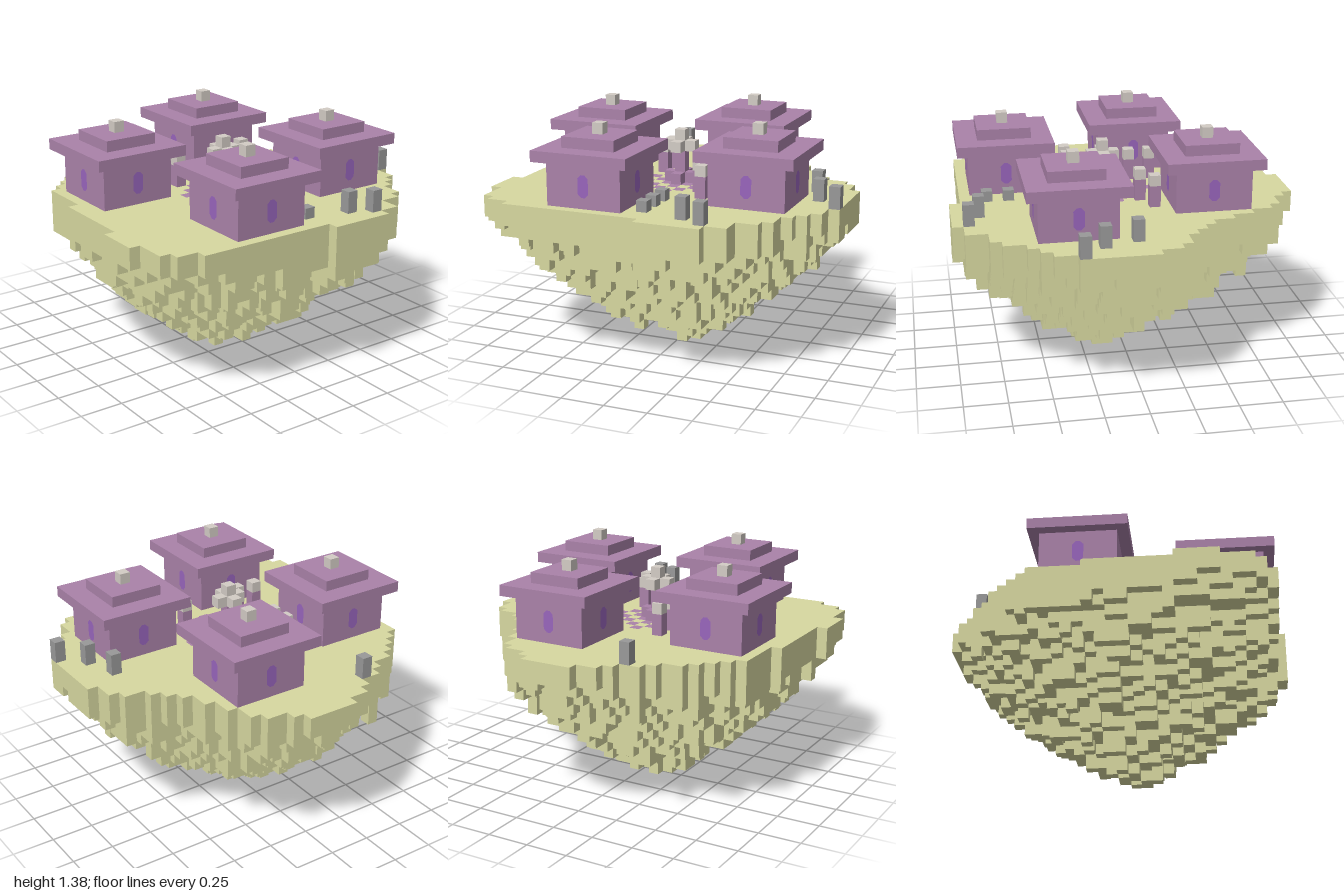
import * as THREE from 'three';

const U = 1 / 16; // one block
const GROUND = 15; // ground level in blocks

const mat = (name, color) =>
  Object.assign(new THREE.MeshStandardMaterial({ color }), { name });

// Left and right end of the ground in each row of blocks, from the back to the front
const ROWS = [
  [-1, 6], [-3, 8], [-4, 9], [-4, 10], [-5, 12], [-6, 13], [-7, 13], [-9, 15],
  [-11, 15], [-13, 16], [-14, 16], [-14, 16], [-15, 16], [-16, 16], [-16, 16], [-16, 15],
  [-16, 15], [-16, 15], [-15, 15], [-15, 15], [-14, 15], [-13, 15], [-13, 15], [-12, 15],
  [-11, 15], [-11, 15], [-10, 15], [-9, 15], [-8, 14], [-7, 14], [-2, 13], [6, 10],
];

// Repeatable noise from 0 to 1
function noise(x, z) {
  const s = Math.sin(x * 127.1 + z * 311.7) * 43758.5453;
  return s - Math.floor(s);
}

function isLand(x, z) {
  const row = ROWS[z + 16];
  return row !== undefined && x >= row[0] && x < row[1];
}

// Chequered paving in a diamond around the monument
function isPaved(x, z) {
  const reach = Math.abs(x - 1) + Math.abs(z);
  return reach <= 4 && reach % 2 === 0;
}

// Underside height of a column: a bowl that rises to the coast, roughened
function bottomAt(x, z) {
  const dx = x - 0.8, dz = z - 0.3;
  const r = Math.max(Math.hypot(dx, dz), 0.5);
  let coast = r;
  while (isLand(Math.floor(1.3 + dx / r * coast), Math.floor(0.8 + dz / r * coast))) coast += 0.5;
  const s = Math.max(r, Math.min(r * 16 / coast, 16));
  const height = 0.4 * s + 0.022 * s * s - 0.6 + 2.3 * noise(x, z);
  return Math.max(0, Math.min(13, Math.floor(height)));
}

// Blocky island: only the exposed faces of each column
function islandGeometry() {
  const pos = [];
  const quad = (a, b, c, d) => {
    for (const p of [a, b, c, a, c, d]) pos.push(p[0] * U, p[1] * U, p[2] * U);
  };
  for (let z = -16; z < 16; z++) {
    for (let x = ROWS[z + 16][0]; x < ROWS[z + 16][1]; x++) {
      const b = bottomAt(x, z), t = GROUND, X = x + 1, Z = z + 1;
      if (!isPaved(x, z)) quad([x, t, z], [x, t, Z], [X, t, Z], [X, t, z]);
      quad([x, b, z], [X, b, z], [X, b, Z], [x, b, Z]);
      // Each side: neighbour offset, then the edge from its left to its right end
      const sides = [
        [0, 1, x, Z, X, Z], [0, -1, X, z, x, z],
        [1, 0, X, Z, X, z], [-1, 0, x, z, x, Z],
      ];
      for (const [dx, dz, x0, z0, x1, z1] of sides) {
        const top = isLand(x + dx, z + dz) ? bottomAt(x + dx, z + dz) : t;
        if (top > b) quad([x0, b, z0], [x1, b, z1], [x1, top, z1], [x0, top, z0]);
      }
    }
  }
  const g = new THREE.BufferGeometry();
  g.setAttribute('position', new THREE.Float32BufferAttribute(pos, 3));
  g.computeVertexNormals();
  return g;
}

// Upright window face with cut corners
function windowGeometry() {
  const w = 0.031, h = 0.063, c = 0.02;
  return new THREE.ShapeGeometry(new THREE.Shape([
    [-w + c, -h], [w - c, -h], [w, -h + c], [w, h - c],
    [w - c, h], [-w + c, h], [-w, h - c], [-w, -h + c],
  ].map(([x, y]) => new THREE.Vector2(x, y))));
}

export function createModel() {
  const grass = mat('grass', 0xd7d8a0);
  const plum = mat('plum', 0xaa82a9);
  const glass = mat('window violet', 0x9865bc);
  const paleStone = mat('pale stone', 0xd3ccc5);
  const darkStone = mat('dark stone', 0x999999);

  const model = new THREE.Group();
  model.name = 'floatingVillage';

  // Box given by its centre in x and z, its base and its size, all in blocks
  function block(parent, name, material, x, y, z, w = 1, h = 1) {
    const m = new THREE.Mesh(new THREE.BoxGeometry(w * U, h * U, w * U), material);
    m.position.set(x * U, (y + h / 2) * U, z * U);
    m.name = name;
    parent.add(m);
  }

  function group(name, x, z) {
    const g = new THREE.Group();
    g.name = name;
    g.position.set(x * U, 0, z * U);
    model.add(g);
    return g;
  }

  const island = new THREE.Mesh(islandGeometry(), grass);
  island.name = 'island';
  model.add(island);

  // Four houses with stepped roofs and a window in every wall
  const pane = windowGeometry();
  for (const [x, z] of [[5.5, -8.5], [-7.5, -3.5], [10.5, 4.5], [-2.5, 9.5]]) {
    const house = group('house', x, z);
    block(house, 'walls', plum, 0, GROUND, 0, 7, 4);
    block(house, 'lowerRoof', plum, 0, 19, 0, 9, 1);
    block(house, 'upperRoof', plum, 0, 20, 0, 5, 1);
    block(house, 'chimney', paleStone, 0, 21, 0);
    for (let i = 0; i < 4; i++) {
      const a = i * Math.PI / 2, out = 3.5 * U + 0.002;
      const win = new THREE.Mesh(pane, glass);
      win.name = 'window';
      win.position.set(Math.sin(a) * out, 17 * U, Math.cos(a) * out);
      win.rotation.y = a;
      house.add(win);
    }
  }

  // Paving set flush into the ground
  const paving = group('paving', 0.5, 0.5);
  const tile = new THREE.PlaneGeometry(U, U).rotateX(-Math.PI / 2);
  for (let x = -3; x <= 5; x++) {
    for (let z = -4; z <= 4; z++) {
      if (!isPaved(x, z)) continue;
      const m = new THREE.Mesh(tile, plum);
      m.name = 'pavingTile';
      m.position.set(x * U, GROUND * U, z * U);
      paving.add(m);
    }
  }

  // Monument with a cross-shaped foot and crown
  const monument = group('monument', 1.5, 0.5);
  block(monument, 'column', plum, 0, GROUND, 0, 1, 3);
  block(monument, 'crownCore', paleStone, 0, 18, 0, 1, 2);
  for (const [x, z] of [[1, 0], [-1, 0], [0, 1], [0, -1]]) {
    block(monument, 'foot', plum, x, GROUND, z);
    block(monument, 'crownArm', paleStone, x, 18, z);
  }

  // Lamp posts around the square
  const lamps = [[-3, -5], [-2, -3], [4, -3], [6, -4], [-4, 3], [-2, 3], [4, 3], [4, 5]];
  for (const [x, z] of lamps) {
    const lamp = group('lampPost', x + 0.5, z + 0.5);
    block(lamp, 'post', plum, 0, GROUND, 0, 1, 2);
    block(lamp, 'lampHead', paleStone, 0, 17, 0);
  }

  // Standing stones: column and height
  const stones = [
    [0, -13, 2], [3, -14, 2], [5, -16, 2], [14, -7, 2], [13, -5, 2], [-13, 5, 2],
    [8, -1, 1], [10, -1, 1], [12, -1, 1],
  ];
  for (const [x, z, h] of stones) {
    block(model, 'standingStone', darkStone, x + 0.5, GROUND, z + 0.5, 1, h);
  }

  return model;
}
